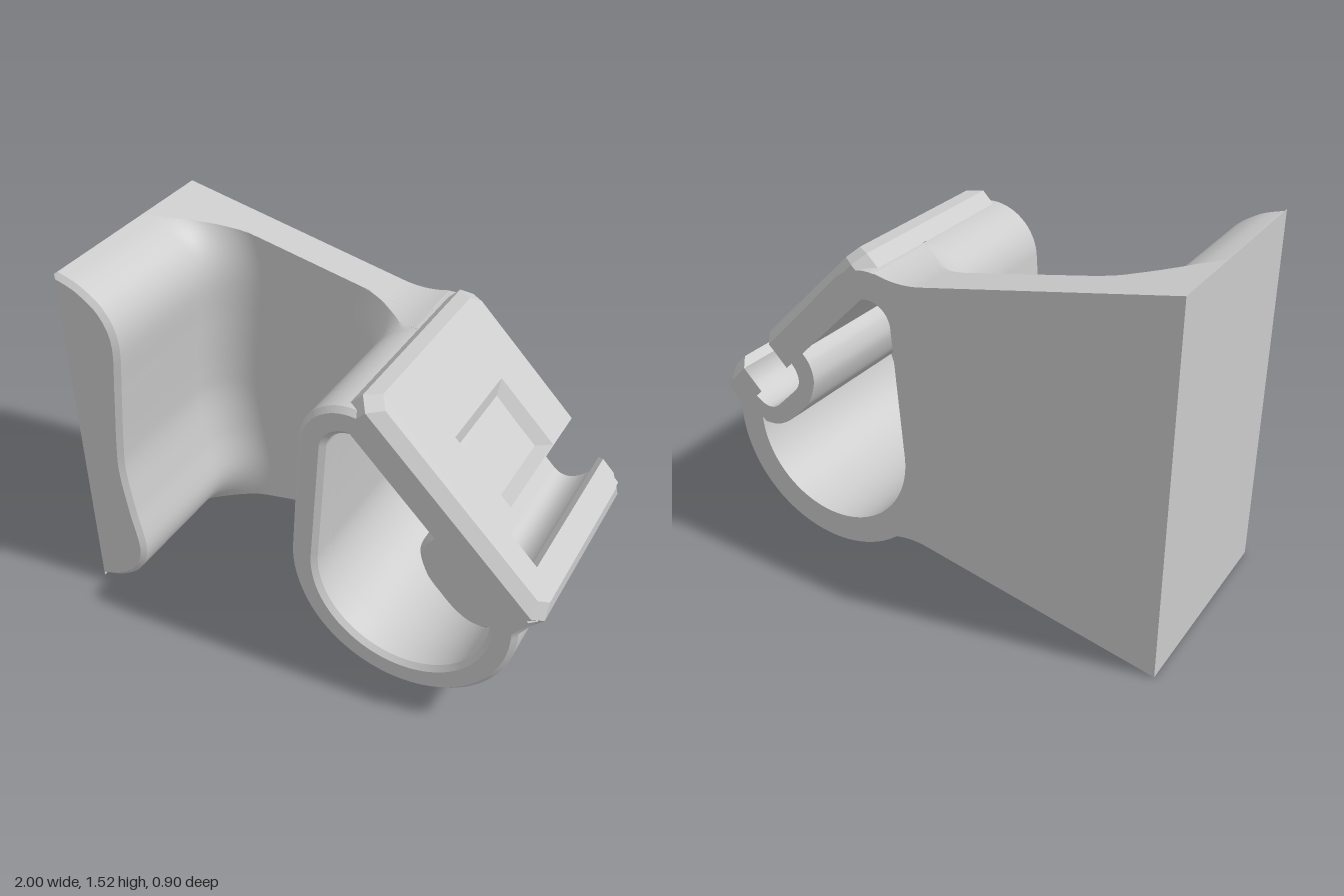
import * as THREE from 'three';
import { toCreasedNormals } from 'three/addons/utils/BufferGeometryUtils.js';

const material = new THREE.MeshStandardMaterial({ color: 0xcccccc });
const rad = THREE.MathUtils.degToRad;
const lerp = THREE.MathUtils.lerp;
const V = (x, y) => new THREE.Vector2(x, y);

// Slanted plate frame: s runs down the slope, d is the depth under its surface
const SUM = 1.7;
const P = (s, d) => V((SUM + (s - d) * Math.SQRT2) / 2, (SUM - (s + d) * Math.SQRT2) / 2);
const GROOVE = { left: -0.115, right: 0.095, end: 0.3 };
const CHAMFER = 0.042;

// Edges of the back web, blending into the loop where x > 0
const webTop = x => (x < 0 ? 1.32 - 0.205 * x : 1.32 - 0.2 * x + 1.2 * x * x);
const webBottom = x => (x < 0 ? 0.2 + 0.2 * x : 0.2 + 0.2 * x - 1.55 * x * x);

function mesh(name, geometry, crease = 0.5) {
  const m = new THREE.Mesh(toCreasedNormals(geometry, crease), material);
  m.name = name;
  return m;
}

function fromTriangles(points) {
  const g = new THREE.BufferGeometry().setFromPoints(points);
  g.computeVertexNormals();
  return g;
}

function extrude(shape, z, depth, options = {}) {
  return new THREE.ExtrudeGeometry(shape, { depth, curveSegments: 40, bevelEnabled: false, ...options })
    .translate(0, 0, z);
}

// Teardrop loop outline, optionally cut by the pin groove
function loopShape(withGroove) {
  const shape = new THREE.Shape();
  const to = (s, d) => { const p = P(s, d); shape.lineTo(p.x, p.y); };
  const curve = (cs, cd, s, d) => {
    const c = P(cs, cd), p = P(s, d);
    shape.quadraticCurveTo(c.x, c.y, p.x, p.y);
  };
  const start = P(0.24, 0.15);
  shape.moveTo(start.x, start.y);
  shape.absarc(0.45, 0.555, 0.47, rad(1), rad(175.6), true);
  shape.absarc(0.235, 1.115, 0.213, rad(175.6), rad(50), true);
  if (withGroove) {
    to(GROOVE.left, CHAMFER);
    curve(-0.155, 0.08, -0.155, 0.14);
    curve(-0.155, 0.25, -0.07, 0.25);
    to(0.05, 0.25);
    curve(0.135, 0.25, 0.135, 0.14);
    curve(0.135, 0.08, GROOVE.right, CHAMFER);
  }
  to(0.23, CHAMFER);

  // Opening, with the groove boss bulging into it
  const hole = new THREE.Path();
  hole.absarc(0.45, 0.56, 0.36, rad(-2), rad(175.3), true);
  hole.absarc(0.235, 1.115, 0.1, rad(175.3), rad(45), true);
  const boss = P(-0.24, 0.15);
  hole.lineTo(boss.x, boss.y);
  hole.splineThru([P(-0.232, 0.213), P(-0.19, 0.276), P(-0.1, 0.321), P(-0.02, 0.328),
    P(0.06, 0.326), P(0.13, 0.307), V(0.79, 0.533)]);
  // The hole runs against the outline
  shape.holes.push(new THREE.Path(hole.getPoints(40).reverse()));
  return shape;
}

// Flat web joining flange and loop at the back
function webShape() {
  const s = new THREE.Shape();
  s.moveTo(-1, webBottom(-1));
  for (let i = 0; i <= 10; i++) s.lineTo(i * 0.02, webBottom(i * 0.02));
  s.absarc(0.45, 0.555, 0.41, rad(236), rad(175.5), true);
  s.absarc(0.235, 1.115, 0.155, rad(175.5), rad(90), true);
  for (let i = 10; i >= 0; i--) s.lineTo(i * 0.02, webTop(i * 0.02));
  s.lineTo(-1, webTop(-1));
  return s;
}

// Offset a profile sideways, trim it at the web edges, then follow
// those edges to the anchor x at both ends
function offsetProfile(points, amount, anchorX) {
  const last = points.length - 1;
  const inside = points.map((p, i) => {
    const t = points[Math.min(i + 1, last)].clone().sub(points[Math.max(i - 1, 0)]).normalize();
    return V(p.x - t.y * amount, p.y + t.x * amount);
  }).filter(p => p.x >= -1 && p.y <= webTop(p.x) + 1e-4 && p.y >= webBottom(p.x) - 1e-4);
  const edge = end => {
    const f = end.y > 0.75 ? webTop : webBottom;
    return [0, 0.2, 0.4, 0.6, 0.8].map(k => {
      const x = lerp(anchorX, end.x, k);
      return V(x, f(x));
    });
  };
  const row = [];
  for (let i = 0; i <= 80; i++) row.push(inside[Math.round((i / 80) * (inside.length - 1))]);
  return [...edge(row[0]), ...row, ...edge(row[80]).reverse()];
}

// Wall swept from front to back; each level is [z, sideways offset]
function wall(points, levels, anchorX) {
  const rows = levels.map(([z, o]) =>
    offsetProfile(points, o, anchorX).map(p => new THREE.Vector3(p.x, p.y, z)));
  const tris = [];
  for (let j = 0; j < rows.length - 1; j++) {
    for (let i = 0; i < rows[0].length - 1; i++) {
      const a = rows[j][i], b = rows[j][i + 1], c = rows[j + 1][i + 1], d = rows[j + 1][i];
      tris.push(a, b, c, a, c, d);
    }
  }
  return fromTriangles(tris);
}

// Quads between two matching outlines at two heights
function band(low, lowW, up, upW, closed = true) {
  const tris = [];
  const at = (p, w) => new THREE.Vector3(p[0], p[1], w);
  const n = low.length;
  for (let i = 0; i < (closed ? n : n - 1); i++) {
    const k = (i + 1) % n;
    const a = at(low[i], lowW), b = at(low[k], lowW), c = at(up[k], upW), d = at(up[i], upW);
    tris.push(a, b, c, a, c, d);
  }
  return fromTriangles(tris);
}

// Chamfered slanted plate with groove mouth and tapered recess
function createSlantedPlate() {
  const plate = new THREE.Group();
  plate.name = 'slantedPlate';
  const { left, right, end } = GROOVE;
  const outline = (s0, s1, v, cut) => [
    [left, v], [s0 + cut, v], [s0, v - cut], [s0, cut - v], [s0 + cut, -v],
    [s1 - cut, -v], [s1, cut - v], [s1, v - cut], [s1 - cut, v], [right, v],
    [right, -end], [left, -end]];
  const rectangle = (s0, s1, v) => [[s0, -v], [s0, v], [s1, v], [s1, -v]];
  const outer = outline(-0.785, 0.253, 0.45, 0.05);
  const inner = outline(-0.743, 0.211, 0.408, 0.045);
  const sides = outer.slice(0, 10);
  const rim = rectangle(-0.445, -0.118, 0.21);
  const floor = rectangle(-0.403, -0.16, 0.168);
  const vectors = list => list.map(p => V(...p));

  const face = new THREE.Shape(vectors(inner));
  face.holes.push(new THREE.Path(vectors(rim)));
  plate.add(
    mesh('plateFace', new THREE.ShapeGeometry(face)),
    mesh('plateChamfer', band(outer, -CHAMFER, inner, 0)),
    mesh('plateSides', band(sides, -0.16, sides, -CHAMFER, false)),
    mesh('recessWalls', band(floor, -0.04, rim, 0)),
    mesh('recessFloor', new THREE.ShapeGeometry(new THREE.Shape(vectors(floor))).translate(0, 0, -0.04)));

  const h = Math.SQRT1_2;
  const basis = new THREE.Matrix4().makeBasis(
    new THREE.Vector3(h, -h, 0), new THREE.Vector3(0, 0, -1), new THREE.Vector3(h, h, 0));
  plate.quaternion.setFromRotationMatrix(basis);
  plate.position.set(SUM / 2, SUM / 2, 0);
  return plate;
}

export function createModel() {
  const model = new THREE.Group();
  model.name = 'clipBracket';

  // Loop: grooved rear length and closed, chamfered front end
  model.add(mesh('loopRear', extrude(loopShape(true), -0.45, 0.77)));
  model.add(mesh('loopFront', extrude(loopShape(false), 0.32, 0.11, {
    bevelEnabled: true, bevelSize: 0.02, bevelThickness: 0.02, bevelOffset: -0.02, bevelSegments: 1 })));
  model.add(createSlantedPlate());

  model.add(mesh('backWeb', extrude(webShape(), -0.45, 0.16)));

  // Rounded inner corner where a wall runs into the web
  const fillet = [];
  for (let k = 0; k <= 16; k++) {
    const a = (k / 16) * Math.PI / 2;
    fillet.push([-0.09 - 0.2 * Math.sin(a), 0.2 * (1 - Math.cos(a))]);
  }

  // Waisted side flange
  const profile = new THREE.SplineCurve([
    V(-1, 1.525), V(-0.9, 1.49), V(-0.8, 1.41), V(-0.753, 1.28), V(-0.773, 1.05), V(-0.8, 0.8),
    V(-0.807, 0.65), V(-0.783, 0.45), V(-0.753, 0.25), V(-0.8, 0.12), V(-0.9, 0.037), V(-1, 0),
  ]).getSpacedPoints(1200);
  model.add(mesh('flangeWall', wall(profile, [[0.45, -0.02], [0.43, 0], ...fillet], -1)));
  const cap = new THREE.Shape(offsetProfile(profile, -0.02, -1));
  model.add(mesh('flangeFront', new THREE.ShapeGeometry(cap).translate(0, 0, 0.45)));
  model.add(mesh('flangeOuterFace',
    new THREE.PlaneGeometry(0.9, 1.525).rotateY(-Math.PI / 2).translate(-1, 0.7625, 0)));

  // Blend from the loop into the web
  const side = new THREE.Path();
  side.absarc(0.45, 0.555, 0.47, rad(235), rad(175.6), true);
  side.absarc(0.235, 1.115, 0.213, rad(175.6), rad(95), true);
  model.add(mesh('loopFillet', wall(side.getSpacedPoints(1200), fillet, 0.2)));

  return model;
}
